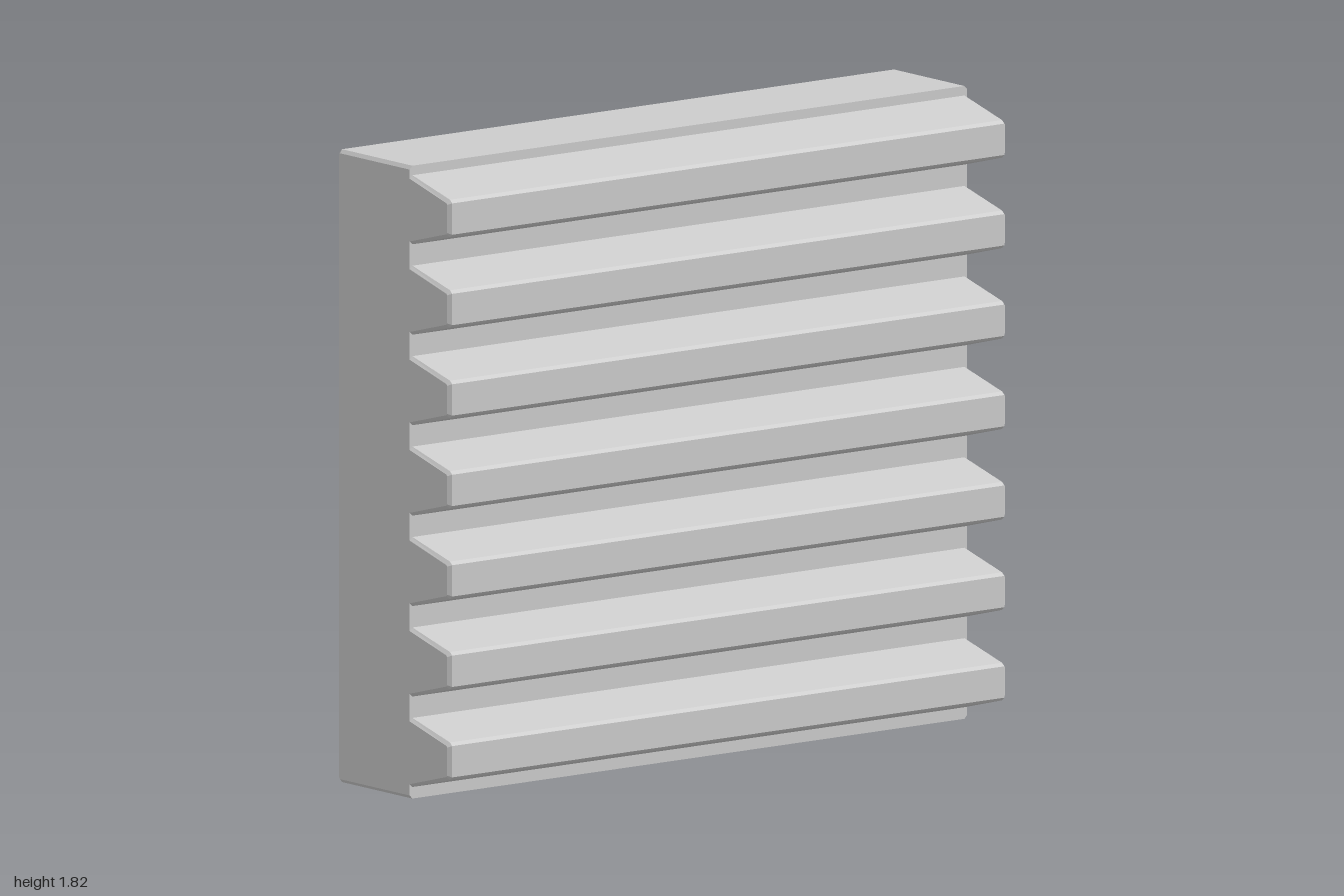
import * as THREE from 'three';

const HEIGHT = 1.817, BACK = -0.257, ROOT = 0.075, TIP = 0.257, BEVEL = 0.01;
const TEETH = 7, PITCH = 0.2597;

// Extrudes an outline along z to a length of 2, with chamfered ends
function bar(points) {
  const shape = new THREE.Shape(points.map(([x, y]) => new THREE.Vector2(x, y)));
  const geometry = new THREE.ExtrudeGeometry(shape, {
    depth: 2 - 2 * BEVEL, bevelEnabled: true, bevelSegments: 1,
    bevelThickness: BEVEL, bevelSize: BEVEL, bevelOffset: -BEVEL,
  });
  return geometry.translate(0, 0, -1 + BEVEL);
}

export function createModel() {
  const group = new THREE.Group();
  group.name = 'gearRack';
  const material = new THREE.MeshStandardMaterial({ color: 0xcccccc, flatShading: true });

  // Backing block: chamfered at the back, its toothed face kept sharp
  const front = ROOT + BEVEL;
  const blockGeometry = bar([
    [BACK + BEVEL, 0], [front, 0], [front, HEIGHT],
    [BACK + BEVEL, HEIGHT], [BACK, HEIGHT - BEVEL], [BACK, BEVEL],
  ]);
  const pos = blockGeometry.attributes.position;
  for (let i = 0; i < pos.count; i++) pos.setX(i, Math.min(pos.getX(i), ROOT));
  blockGeometry.computeVertexNormals();
  const block = new THREE.Mesh(blockGeometry, material);
  block.name = 'backingBlock';
  group.add(block);

  // Tapered teeth, rooted slightly inside the block
  const toothGeometry = bar([
    [ROOT - 0.03, -0.107], [TIP - BEVEL, -0.054], [TIP, -0.045],
    [TIP, 0.045], [TIP - BEVEL, 0.054], [ROOT - 0.03, 0.107],
  ]);
  for (let i = 0; i < TEETH; i++) {
    const tooth = new THREE.Mesh(toothGeometry, material);
    tooth.name = `tooth${i + 1}`;
    tooth.position.y = HEIGHT / 2 + 0.003 + (i - (TEETH - 1) / 2) * PITCH;
    group.add(tooth);
  }
  return group;
}
